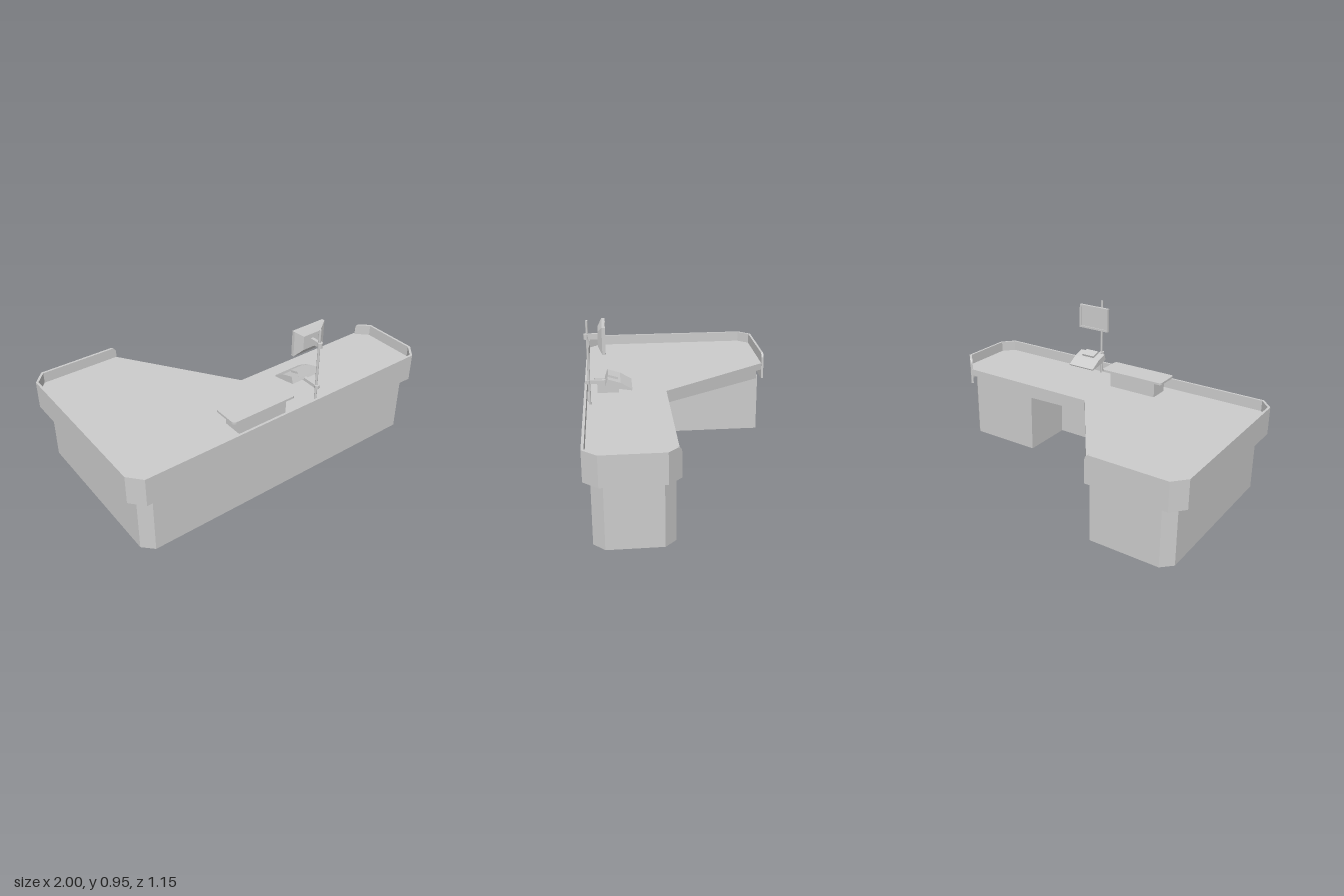
import * as THREE from 'three';

const material = new THREE.MeshStandardMaterial({ color: 0xcccccc, flatShading: true });
const smooth = new THREE.MeshStandardMaterial({ color: 0xcccccc });

function add(parent, name, geometry, mat = material) {
  const mesh = new THREE.Mesh(geometry, mat);
  mesh.name = name;
  parent.add(mesh);
  return mesh;
}

function box(x0, x1, y0, y1, z0, z1) {
  return new THREE.BoxGeometry(x1 - x0, y1 - y0, z1 - z0)
    .translate((x0 + x1) / 2, (y0 + y1) / 2, (z0 + z1) / 2);
}

const shapeOf = (pts) => new THREE.Shape(pts.map(([a, b]) => new THREE.Vector2(a, b)));

// Plan outline in (x, z) raised from y0 to y1
function slab(shape, y0, y1) {
  return new THREE.ExtrudeGeometry(shape, { depth: y1 - y0, bevelEnabled: false, curveSegments: 6 })
    .rotateX(Math.PI / 2).translate(0, y1, 0);
}

// Side profile in (z, y) spanning x0 to x1
function sideProfile(pts, x0, x1) {
  return new THREE.ExtrudeGeometry(shapeOf(pts.map(([z, y]) => [-z, y])), { depth: x1 - x0, bevelEnabled: false })
    .rotateY(Math.PI / 2).translate(x0, 0, 0);
}

function roundedRect(x0, x1, z0, z1, r) {
  const s = new THREE.Shape();
  s.absarc(x1 - r, z1 - r, r, 0, Math.PI / 2);
  s.absarc(x0 + r, z1 - r, r, Math.PI / 2, Math.PI);
  s.absarc(x0 + r, z0 + r, r, Math.PI, Math.PI * 1.5);
  s.absarc(x1 - r, z0 + r, r, Math.PI * 1.5, Math.PI * 2);
  return s;
}

// Upright wall swept along an open path, mitred at corners, rounded at the top of both ends
function rimWall(corners, thickness, y0, y1, radius) {
  const pts = corners.map(([x, z]) => new THREE.Vector2(x, z));
  const n = pts.length;
  const dirs = pts.slice(1).map((p, i) => p.clone().sub(pts[i]).normalize());
  const outward = (d) => new THREE.Vector2(-d.y, d.x);
  const rings = [];
  const ring = (p, normal, top) => {
    const q = p.clone().addScaledVector(normal, -thickness);
    rings.push([[p.x, y0, p.y], [p.x, top, p.y], [q.x, top, q.y], [q.x, y0, q.y]]);
  };
  const steps = 5;
  const roundedEnd = (p, d, into, order) => {
    for (const k of order) {
      const a = (k / steps) * Math.PI / 2;
      ring(p.clone().addScaledVector(d, into * radius * (1 - Math.cos(a))), outward(d), y1 - radius * (1 - Math.sin(a)));
    }
  };
  const order = [0, 1, 2, 3, 4, 5];
  roundedEnd(pts[0], dirs[0], 1, order);
  for (let i = 1; i < n - 1; i++) {
    const a = outward(dirs[i - 1]), b = outward(dirs[i]);
    ring(pts[i], a.clone().add(b).divideScalar(1 + a.dot(b)), y1);
  }
  roundedEnd(pts[n - 1], dirs[n - 2], -1, [...order].reverse());

  const pos = [];
  const quad = (a, b, c, d) => pos.push(...a, ...b, ...c, ...a, ...c, ...d);
  for (let i = 0; i < rings.length - 1; i++) {
    const r = rings[i], s = rings[i + 1];
    for (let j = 0; j < 4; j++) quad(r[j], s[j], s[(j + 1) % 4], r[(j + 1) % 4]);
  }
  const f = rings[0], l = rings[rings.length - 1];
  quad(f[0], f[1], f[2], f[3]);
  quad(l[3], l[2], l[1], l[0]);
  const g = new THREE.BufferGeometry();
  g.setAttribute('position', new THREE.Float32BufferAttribute(pos, 3));
  g.computeVertexNormals();
  return g;
}

export function createModel() {
  const model = new THREE.Group();
  model.name = 'checkoutCounter';

  // Base cabinets: two pedestals joined by a thin front panel
  add(model, 'baseCabinet', slab(shapeOf([
    [-0.88, -0.54], [-0.46, -0.54], [-0.46, 0.46], [0.44, 0.46], [0.44, 0.125], [0.9, 0.125],
    [0.96, 0.185], [0.96, 0.48], [0.9, 0.54], [-0.88, 0.54], [-0.94, 0.48], [-0.94, -0.48],
  ]), 0, 0.375));

  // Supporting layer under the worktop, a little thinner at the inner corner
  const support = slab(shapeOf([
    [-0.88, -0.53], [-0.45, -0.53], [0, 0.115], [0.89, 0.115], [0.95, 0.175],
    [0.95, 0.475], [0.89, 0.535], [-0.87, 0.535], [-0.935, 0.475], [-0.935, -0.475],
  ]), 0.36, 0.42);
  const p = support.attributes.position;
  for (let i = 0; i < p.count; i++) {
    if (Math.abs(p.getX(i)) < 0.01 && p.getY(i) < 0.4) p.setY(i, 0.38);
  }
  support.computeVertexNormals();
  add(model, 'worktopSupport', support);

  // Worktop and the raised rim around its outer edges
  add(model, 'worktop', slab(shapeOf([
    [-0.925, -0.567], [-0.455, -0.567], [0.008, 0.1], [0.926, 0.1], [0.992, 0.172],
    [0.992, 0.497], [0.926, 0.567], [-0.926, 0.567], [-0.992, 0.497], [-0.992, -0.497],
  ]), 0.42, 0.463));
  add(model, 'rim', rimWall([
    [-0.45, -0.577], [-0.932, -0.577], [-1, -0.5], [-1, 0.5], [-0.932, 0.577],
    [0.932, 0.577], [1, 0.5], [1, 0.17], [0.93, 0.1],
  ], 0.014, 0.36, 0.528, 0.03));

  // Weighing scale
  const scale = new THREE.Group();
  scale.name = 'scale';
  model.add(scale);
  add(scale, 'scaleBody', box(-0.31, 0.003, 0.46, 0.56, 0.38, 0.505));
  add(scale, 'scalePlate', slab(roundedRect(-0.365, 0.055, 0.36, 0.522, 0.02), 0.559, 0.572));

  // Pole with two brackets
  const px = 0.18, pz = 0.546;
  add(model, 'pole', new THREE.CylinderGeometry(0.007, 0.007, 0.49, 16).translate(px, 0.705, pz), smooth);
  for (const [name, y, h, zEnd] of [['monitorArm', 0.86, 0.03, 0.48], ['terminalArm', 0.597, 0.02, 0.44]]) {
    add(model, name, box(px - 0.009, px + 0.009, y - h / 2, y + h / 2, zEnd, 0.556));
    add(model, name + 'Collar', new THREE.CylinderGeometry(0.014, 0.014, h, 16).translate(px, y, 0.552), smooth);
  }

  // Monitor facing the cashier: bezel, screen and tapered back
  const monitor = new THREE.Group();
  monitor.name = 'monitor';
  monitor.position.set(px, 0.86, 0);
  model.add(monitor);
  const w = 0.105, h = 0.075, b = 0.012;
  const bezel = shapeOf([[-w, -h], [w, -h], [w, h], [-w, h]]);
  bezel.holes.push(shapeOf([[-w + b, -h + b], [-w + b, h - b], [w - b, h - b], [w - b, -h + b]]));
  add(monitor, 'bezel', new THREE.ExtrudeGeometry(bezel, { depth: 0.006, bevelEnabled: false }).translate(0, 0, 0.447));
  add(monitor, 'screen', box(-w, w, -h, h, 0.453, 0.465));
  const back = box(-w, w, -h, h, 0.465, 0.488);
  const q = back.attributes.position;
  for (let i = 0; i < q.count; i++) {
    if (q.getZ(i) > 0.48) q.setXY(i, q.getX(i) * 0.55, q.getY(i) * 0.55);
  }
  back.computeVertexNormals();
  add(monitor, 'monitorBack', back);

  // Sloping payment terminal with a printer block on top
  const terminal = new THREE.Group();
  terminal.name = 'terminal';
  model.add(terminal);
  add(terminal, 'keypadBody', sideProfile([
    [0.457, 0.598], [0.443, 0.638], [0.372, 0.616], [0.308, 0.577], [0.311, 0.57], [0.392, 0.583],
  ], 0.09, 0.267));
  add(terminal, 'printerBlock', sideProfile([
    [0.452, 0.615], [0.439, 0.65], [0.383, 0.633], [0.39, 0.612],
  ], 0.135, 0.222));

  return model;
}
